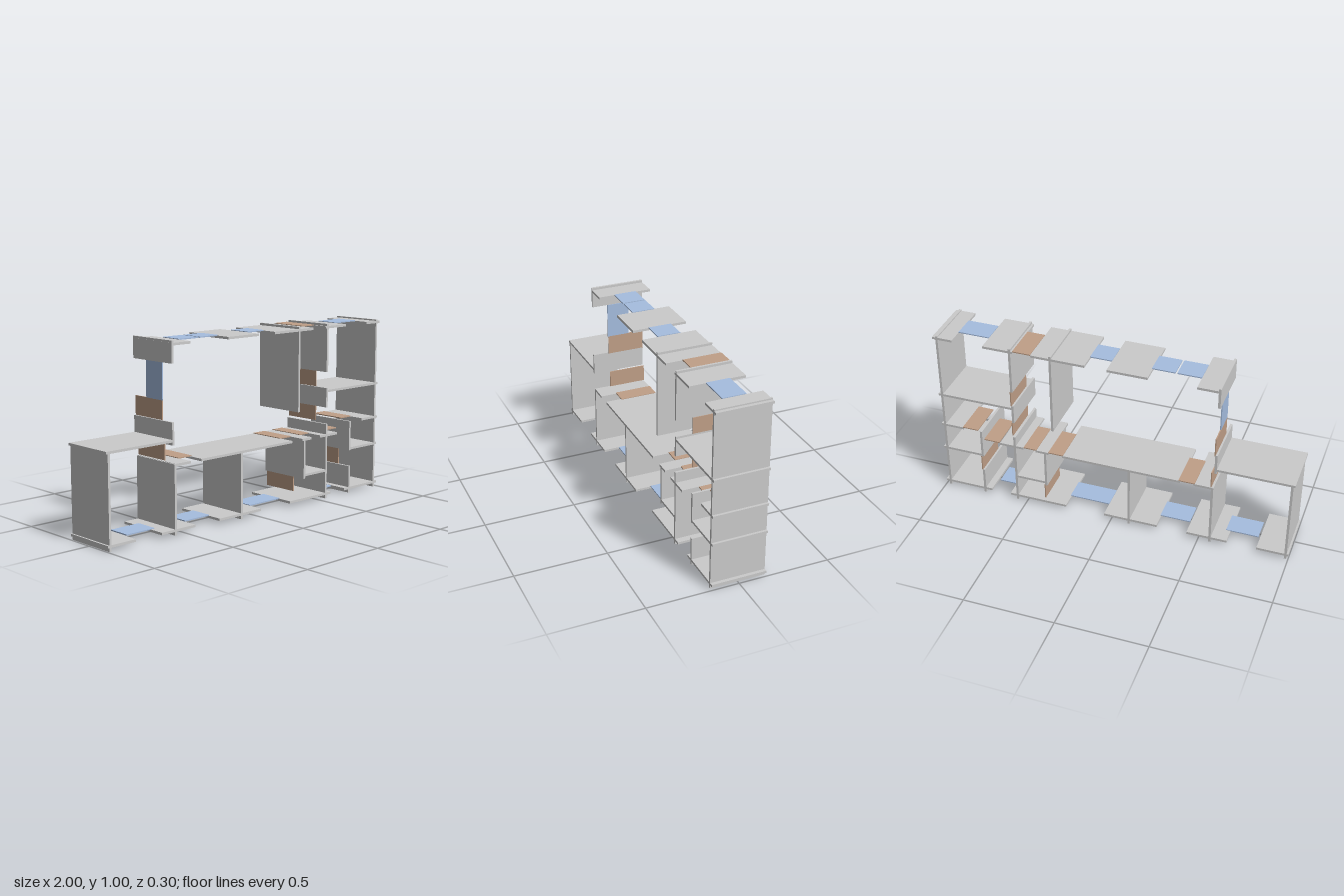
import * as THREE from 'three';

const BOARD = 0.013, SLAT = 0.006, LAP = 0.007;

// z range, thickness and offset from the board plane for each kind of piece
const KINDS = {
  board: { z0: -0.15, z1: 0.15, t: BOARD, off: 0, color: 0xcccccc },
  wideSlat: { z0: -0.15, z1: 0.06, t: SLAT, off: LAP, color: 0xc0a088 },
  narrowSlat: { z0: -0.063, z1: 0.063, t: SLAT, off: LAP, color: 0xa6bee0 },
};

// Horizontal rows: [height of board plane, list of [kind, x0, x1]]
const ROWS = {
  base: [0.026, [
    ['board', -1, -0.825], ['narrowSlat', -0.815, -0.635], ['board', -0.66, -0.435],
    ['narrowSlat', -0.43, -0.26], ['board', -0.265, 0.04], ['narrowSlat', 0.04, 0.27],
    ['board', 0.265, 0.6], ['narrowSlat', 0.6, 0.7], ['board', 0.715, 1]]],
  top: [0.976, [
    ['board', -0.585, -0.46], ['narrowSlat', -0.46, -0.33], ['narrowSlat', -0.32, -0.195],
    ['board', -0.2, 0.02], ['narrowSlat', 0.02, 0.14], ['board', 0.14, 0.44],
    ['wideSlat', 0.44, 0.54], ['board', 0.54, 0.71], ['narrowSlat', 0.71, 0.885],
    ['board', 0.885, 1]]],
  counter: [0.365, [
    ['board', -0.565, -0.463], ['wideSlat', -0.47, -0.38], ['board', -0.39, -0.055],
    ['board', -0.055, 0.28], ['wideSlat', 0.275, 0.36], ['board', 0.36, 0.435],
    ['wideSlat', 0.43, 0.505], ['board', 0.505, 0.645], ['wideSlat', 0.65, 0.74]]],
  leftShelf: [0.49, [['board', -1, -0.575]]],
  cubbyShelf: [0.162, [['board', 0.38, 0.56]]],
  rightHighShelf: [0.617, [['board', 0.56, 0.995]]],
  rightMiddleShelf: [0.418, [['wideSlat', 0.775, 0.865], ['board', 0.86, 0.995]]],
  rightLowShelf: [0.26, [['board', 0.76, 0.995]]],
};

// Upright columns: [x of board plane, list of [kind, y0, y1]]
const COLUMNS = {
  leftSide: [-0.984, [['board', 0, 0.495]]],
  leftLowerUpright: [-0.565, [['board', 0, 0.37], ['wideSlat', 0.375, 0.468]]],
  leftUpperUpright: [-0.578, [
    ['board', 0.468, 0.585], ['wideSlat', 0.58, 0.687], ['narrowSlat', 0.685, 0.88],
    ['board', 0.88, 0.995]]],
  counterDivider: [-0.103, [['board', 0, 0.36]]],
  hangingDivider: [0.331, [['board', 0.525, 0.995]]],
  cubbySide: [0.38, [['wideSlat', 0.055, 0.147], ['board', 0.142, 0.37]]],
  rightUpright: [0.558, [
    ['board', 0, 0.43], ['wideSlat', 0.44, 0.525], ['board', 0.525, 0.635],
    ['wideSlat', 0.635, 0.725], ['board', 0.725, 0.995]]],
  rightDivider: [0.758, [
    ['board', 0, 0.157], ['wideSlat', 0.157, 0.25], ['board', 0.25, 0.42]]],
  rightSide: [0.975, [['board', 0, 0.99]]],
};

export function createModel() {
  const model = new THREE.Group();
  model.name = 'shelvingUnit';

  const materials = {};
  for (const [kind, k] of Object.entries(KINDS)) {
    materials[kind] = new THREE.MeshStandardMaterial({ color: k.color });
  }

  // One row or column of pieces along the x or y axis
  const addRun = (name, [plane, pieces], upright) => {
    const run = new THREE.Group();
    run.name = name;
    for (const [kind, a, b] of pieces) {
      const { z0, z1, t, off } = KINDS[kind];
      const size = upright ? [t, b - a] : [b - a, t];
      const mesh = new THREE.Mesh(new THREE.BoxGeometry(...size, z1 - z0), materials[kind]);
      const mid = (a + b) / 2, level = plane + off, z = (z0 + z1) / 2;
      if (upright) mesh.position.set(level, mid, z);
      else mesh.position.set(mid, level, z);
      mesh.name = kind;
      run.add(mesh);
    }
    model.add(run);
  };

  for (const [name, row] of Object.entries(ROWS)) addRun(name, row, false);
  for (const [name, column] of Object.entries(COLUMNS)) addRun(name, column, true);
  return model;
}
